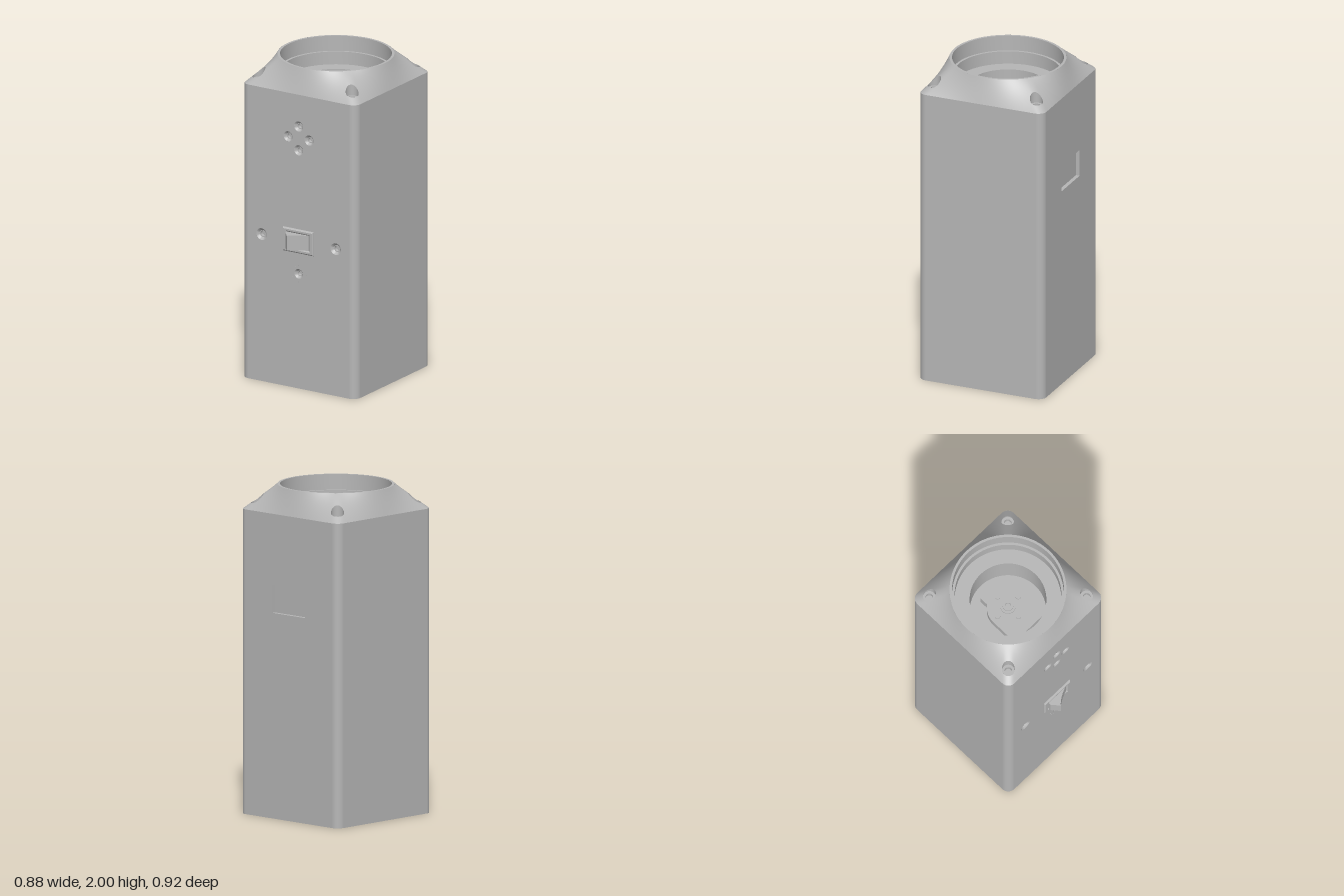
import * as THREE from 'three';
import { toCreasedNormals } from 'three/addons/utils/BufferGeometryUtils.js';

const HALF = 0.409, CORNER = 0.05, FLAT = HALF - CORNER; // rounded-square plan
const BODY_TOP = 1.85, TOP = 2, RIM = 0.35;
const SCREW = 0.333, SCREW_R = 0.039, SCREW_FLOOR = 1.872;

export function createModel() {
  const grey = new THREE.MeshStandardMaterial({ color: 0xb6b6b6, side: THREE.DoubleSide });
  grey.name = 'grey';
  const model = new THREE.Group();
  model.name = 'device';
  const add = (name, geometry, parent = model) => {
    const mesh = new THREE.Mesh(geometry, grey);
    mesh.name = name;
    parent.add(mesh);
    return mesh;
  };
  const lathe = (points, segments = 32) => toCreasedNormals(
    new THREE.LatheGeometry(points.map(([r, y]) => new THREE.Vector2(r, y)), segments), 0.5);
  const rect = (w, h, y, Type = THREE.Path) => new Type([
    [-w, y - h], [w, y - h], [w, y + h], [-w, y + h]].map(([a, b]) => new THREE.Vector2(a, b)));
  const circle = (x, y, r) => new THREE.Path().absarc(x, y, r, 0, Math.PI * 2, true);
  const panel = () => rect(FLAT, BODY_TOP / 2, BODY_TOP / 2, THREE.Shape);

  // Body: two flat side walls, four rounded corners and a base
  const outline = new THREE.Shape();
  [[1, 1], [-1, 1], [-1, -1], [1, -1]].forEach(([x, z], i) =>
    outline.absarc(x * FLAT, z * FLAT, CORNER, i * Math.PI / 2, (i + 1) * Math.PI / 2, false));
  for (const side of [-1, 1]) {
    const wall = add('sideWall', new THREE.PlaneGeometry(FLAT * 2, BODY_TOP));
    wall.rotation.y = side * Math.PI / 2;
    wall.position.set(side * HALF, BODY_TOP / 2, 0);
    for (const end of [-1, 1]) {
      const start = Math.atan2(side, end) - Math.PI / 4;
      const corner = add('bodyCorner', new THREE.CylinderGeometry(
        CORNER, CORNER, BODY_TOP, 10, 1, true, start, Math.PI / 2));
      corner.position.set(side * FLAT, BODY_TOP / 2, end * FLAT);
    }
  }
  add('base', new THREE.ShapeGeometry(outline, 10)).rotation.x = Math.PI / 2;

  // Front panel with countersunk openings
  const front = new THREE.Group();
  front.name = 'frontPanel';
  front.position.z = HALF;
  model.add(front);
  const sockets = [
    [0, 1.65, 0.032], [0, 1.5, 0.032], [-0.075, 1.575, 0.032], [0.075, 1.575, 0.032],
    [-0.265, 0.925, 0.037], [0.265, 0.925, 0.037], [0, 0.722, 0.03],
  ];
  const frontShape = panel();
  for (const [x, y, r] of sockets) frontShape.holes.push(circle(x, y, r));
  frontShape.holes.push(rect(0.08, 0.05, 0.928));
  add('frontWall', new THREE.ShapeGeometry(frontShape, 24), front);
  for (const [x, y, r] of sockets) {
    const socket = add('socket', lathe([
      [r, 0], [r * 0.85, -0.003], [r * 0.6, -0.016], [r * 0.45, -0.016],
      [r * 0.45, -0.035], [0, -0.035]], 24), front);
    socket.rotation.x = Math.PI / 2;
    socket.position.set(x, y, 0);
  }

  // Tick marks around the lowest socket
  for (let i = 0; i < 12; i++) {
    const a = i * Math.PI / 6;
    const tick = add('tick', new THREE.BoxGeometry(0.006, 0.003, 0.002), front);
    tick.position.set(Math.cos(a) * 0.052, 0.722 + Math.sin(a) * 0.052, 0);
    tick.rotation.z = a;
  }

  // Rocker switch in a bevelled frame
  const frame = rect(0.102, 0.067, 0.928, THREE.Shape);
  frame.holes.push(rect(0.086, 0.056, 0.928));
  add('switchFrame', new THREE.ExtrudeGeometry(frame, {
    depth: 0.004, bevelThickness: 0.008, bevelSize: 0.008, bevelSegments: 1 }), front);
  const well = add('switchWell', new THREE.BoxGeometry(0.16, 0.1, 0.004), front);
  well.position.set(0, 0.928, -0.012);
  const rocker = new THREE.Shape();
  rocker.moveTo(-0.077, -0.012);
  rocker.lineTo(-0.077, 0.026);
  rocker.lineTo(-0.037, 0.073);
  rocker.quadraticCurveTo(-0.005, 0.035, 0.073, 0.006);
  rocker.lineTo(0.073, -0.012);
  const lever = add('switchRocker', new THREE.ExtrudeGeometry(rocker, {
    depth: 0.094, bevelEnabled: false, curveSegments: 12 }), front);
  lever.rotation.x = Math.PI / 2;
  lever.position.y = 0.975;

  // Back panel with a recessed window
  const back = new THREE.Group();
  back.name = 'backPanel';
  back.position.z = -HALF;
  back.rotation.y = Math.PI;
  model.add(back);
  const backShape = panel();
  backShape.holes.push(rect(0.137, 0.084, 1.332));
  add('backWall', new THREE.ShapeGeometry(backShape), back);
  const reveal = rect(0.147, 0.094, 1.332, THREE.Shape);
  reveal.holes.push(rect(0.137, 0.084, 1.332));
  add('windowReveal', new THREE.ExtrudeGeometry(reveal, { depth: 0.024, bevelEnabled: false }), back)
    .position.z = -0.025;
  add('windowPane', new THREE.ShapeGeometry(rect(0.142, 0.089, 1.332, THREE.Shape)), back)
    .position.z = -0.025;

  // Cap: straight loft from the rounded square to the round rim, cut by four screw holes
  const edgeRadius = (a) => {
    const c = Math.abs(Math.cos(a)), s = Math.abs(Math.sin(a));
    const hi = Math.max(c, s), lo = Math.min(c, s);
    if (HALF * lo / hi <= FLAT) return HALF / hi;
    const d = FLAT * (c + s);
    return d + Math.sqrt(d * d - 2 * FLAT * FLAT + CORNER * CORNER);
  };
  const capHeight = (x, z) => {
    const t = (Math.hypot(x, z) - RIM) / (edgeRadius(Math.atan2(z, x)) - RIM);
    return TOP - (TOP - BODY_TOP) * t;
  };
  const around = 288, rings = 24, pos = [], inside = [], index = [];
  for (let j = 0; j <= rings; j++) for (let i = 0; i < around; i++) {
    const a = i / around * Math.PI * 2;
    const r = RIM + (edgeRadius(a) - RIM) * j / rings;
    let x = r * Math.cos(a), z = r * Math.sin(a);
    const sx = x < 0 ? -SCREW : SCREW, sz = z < 0 ? -SCREW : SCREW;
    const d = Math.hypot(x - sx, z - sz), cut = d < SCREW_R;
    if (cut) {
      const k = SCREW_R / Math.max(d, 1e-6);
      x = sx + (x - sx) * k;
      z = sz + (z - sz) * k;
    }
    inside.push(cut);
    pos.push(x, capHeight(x, z), z);
  }
  const tri = (...t) => { if (!t.every((v) => inside[v])) index.push(...t); };
  for (let j = 0; j < rings; j++) for (let i = 0; i < around; i++) {
    const n = (i + 1) % around;
    const a = j * around + i, b = j * around + n, c = a + around, d = b + around;
    tri(a, b, c);
    tri(b, d, c);
  }
  const cap = new THREE.BufferGeometry();
  cap.setAttribute('position', new THREE.Float32BufferAttribute(pos, 3));
  cap.setIndex(index);
  cap.computeVertexNormals();
  add('cap', cap);

  // Counterbores whose upper edge follows the cap slope
  for (const sx of [-SCREW, SCREW]) for (const sz of [-SCREW, SCREW]) {
    const wall = new THREE.CylinderGeometry(SCREW_R, SCREW_R, 1, 40, 1, true);
    const p = wall.attributes.position;
    for (let i = 0; i < p.count; i++) {
      const top = capHeight(p.getX(i) + sx, p.getZ(i) + sz);
      p.setY(i, p.getY(i) > 0 ? top : Math.min(top, SCREW_FLOOR));
    }
    add('screwBore', wall).position.set(sx, 0, sz);
    add('screwSeat', lathe([[SCREW_R, SCREW_FLOOR], [0.023, SCREW_FLOOR],
      [0.023, SCREW_FLOOR - 0.03], [0, SCREW_FLOOR - 0.03]])).position.set(sx, 0, sz);
  }

  // Stepped rim and the cavity below it
  add('rim', lathe([[RIM, TOP], [0.335, TOP], [0.335, 1.905], [0.32, 1.905],
    [0.32, 1.825], [0.23, 1.825]], 96));
  add('cavity', lathe([[0.23, 1.825], [0.23, 1.62], [0, 1.62]], 96));

  // Arched mounting plate with centre boss and pins
  const arch = new THREE.Shape();
  arch.moveTo(-0.132, -0.187);
  arch.lineTo(0.132, -0.187);
  arch.lineTo(0.132, -0.007);
  arch.absarc(0, -0.007, 0.132, 0, Math.PI, false);
  const plate = add('mountPlate', new THREE.ExtrudeGeometry(arch, {
    depth: 0.05, bevelEnabled: false, curveSegments: 24 }));
  plate.rotation.x = -Math.PI / 2;
  plate.position.y = 1.65;
  add('rearBlock', new THREE.BoxGeometry(0.146, 0.06, 0.07)).position.set(0, 1.65, -0.125);
  add('boss', lathe([[0.046, 1.7], [0.046, 1.71], [0.032, 1.71], [0.032, 1.72],
    [0.018, 1.72], [0.018, 1.705], [0, 1.705]]));
  for (let i = 0; i < 4; i++) {
    const a = i * Math.PI / 2;
    add('pin', new THREE.CylinderGeometry(0.016, 0.016, 0.01, 20))
      .position.set(Math.cos(a) * 0.088, 1.703, Math.sin(a) * 0.088);
  }

  // The whole device stands slightly turned
  model.rotation.y = 0.083;
  model.position.z = -0.0225;
  const root = new THREE.Group();
  root.name = 'model';
  root.add(model);
  return root;
}
